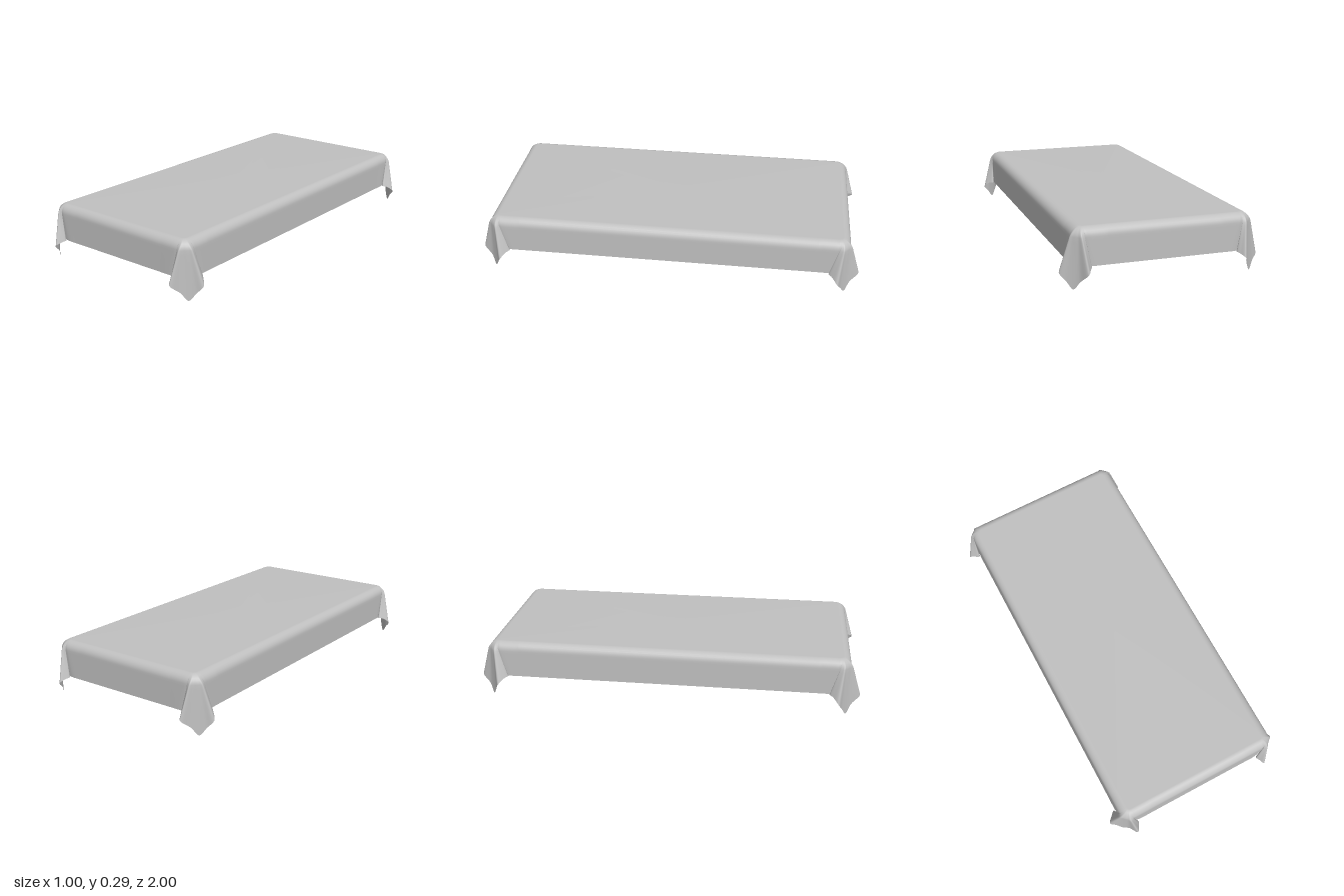
import * as THREE from 'three';

const TOP = 0.29, HALF_X = 0.445, HALF_Z = 0.945, ROUND = 0.045, CORNER = 0.06;

// Hem of one corner, from the long side round to the short end: x, y, z
const HEM = [
  [0.445, 0.105, 0.78], [0.445, 0.105, 0.84], [0.438, 0.105, 0.885], // side wall, tucked behind the fold
  [0.452, 0.106, 0.842], [0.475, 0.1, 0.86], [0.5, 0.073, 0.887],    // fold swinging out
  [0.472, 0.036, 0.907], [0.445, 0, 0.93], [0.418, 0.04, 0.955],     // hanging tip
  [0.39, 0.085, 1.0], [0.374, 0.1, 0.975], [0.363, 0.107, 0.952],    // fold swinging back
  [0.395, 0.107, 0.938], [0.35, 0.107, 0.945], [0.28, 0.107, 0.945], // tucked end wall
].map(p => new THREE.Vector3(...p));

// Samples of the hem, each with its place on the plain rounded rectangle above
function cornerSamples() {
  const curve = new THREE.CatmullRomCurve3(HEM, false, 'centripetal');
  const last = HEM.length - 1, steps = last * 5, samples = [];
  for (let i = 0; i <= steps; i++) {
    const k = i / steps * last;
    const angle = THREE.MathUtils.clamp((k - 1) / (last - 2), 0, 1) * Math.PI / 2;
    samples.push({
      hem: curve.getPoint(i / steps), angle,
      slideZ: k < 1 ? (1 - k) * (HALF_Z - CORNER - 0.78) : 0,
      slideX: k > last - 1 ? (k - last + 1) * (HALF_X - CORNER - 0.28) : 0,
    });
  }
  return samples;
}

// Rows run over the rounded edge and then down the hanging cloth
function clothRows() {
  const rows = [];
  for (let i = 0; i <= 7; i++) {
    const a = i / 7 * Math.PI / 2;
    rows.push({ inset: ROUND * (1 - Math.sin(a)), drop: ROUND * (1 - Math.cos(a)), v: 0, fold: 0.25 * (i / 7) ** 2 });
  }
  for (let i = 1; i <= 10; i++) {
    const v = i / 10;
    rows.push({ inset: 0, drop: ROUND, v, fold: 0.25 + 0.75 * v });
  }
  return rows;
}

function pointAt(s, row) {
  const r = CORNER - row.inset;
  const x = HALF_X - CORNER + r * Math.cos(s.angle) - s.slideX;
  const z = HALF_Z - CORNER + r * Math.sin(s.angle) - s.slideZ;
  const drop = row.drop + row.v * (TOP - s.hem.y - ROUND);
  // keep the rounded edge inset on the straight walls while the fold grows
  return [
    THREE.MathUtils.lerp(x, s.hem.x - row.inset * Math.cos(s.angle), row.fold),
    TOP - drop,
    THREE.MathUtils.lerp(z, s.hem.z - row.inset * Math.sin(s.angle), row.fold),
  ];
}

function clothGeometry() {
  const samples = cornerSamples(), reversed = [...samples].reverse();
  const quadrants = [[1, 1, samples], [-1, 1, reversed], [-1, -1, samples], [1, -1, reversed]];
  const rows = clothRows(), positions = [], index = [];
  for (const row of rows)
    for (const [sx, sz, list] of quadrants)
      for (const s of list) {
        const [x, y, z] = pointAt(s, row);
        positions.push(sx * x, y, sz * z);
      }
  const n = samples.length * 4, centre = rows.length * n;
  positions.push(0, TOP, 0);
  for (let i = 0; i < n; i++) {
    const j = (i + 1) % n;
    index.push(centre, j, i); // flat top
    for (let r = 0; r < rows.length - 1; r++) {
      const a = r * n + i, b = r * n + j, c = a + n, d = b + n;
      index.push(a, b, c, b, d, c);
    }
  }
  const geometry = new THREE.BufferGeometry();
  geometry.setAttribute('position', new THREE.Float32BufferAttribute(positions, 3));
  geometry.setIndex(index);
  geometry.computeVertexNormals();
  return geometry;
}

export function createModel() {
  const group = new THREE.Group();
  group.name = 'tablecloth';
  const cloth = new THREE.MeshStandardMaterial({ color: 0xc0c0c0, side: THREE.DoubleSide });
  cloth.name = 'grey cloth';
  const mesh = new THREE.Mesh(clothGeometry(), cloth);
  mesh.name = 'drapedCloth';
  group.add(mesh);
  return group;
}
